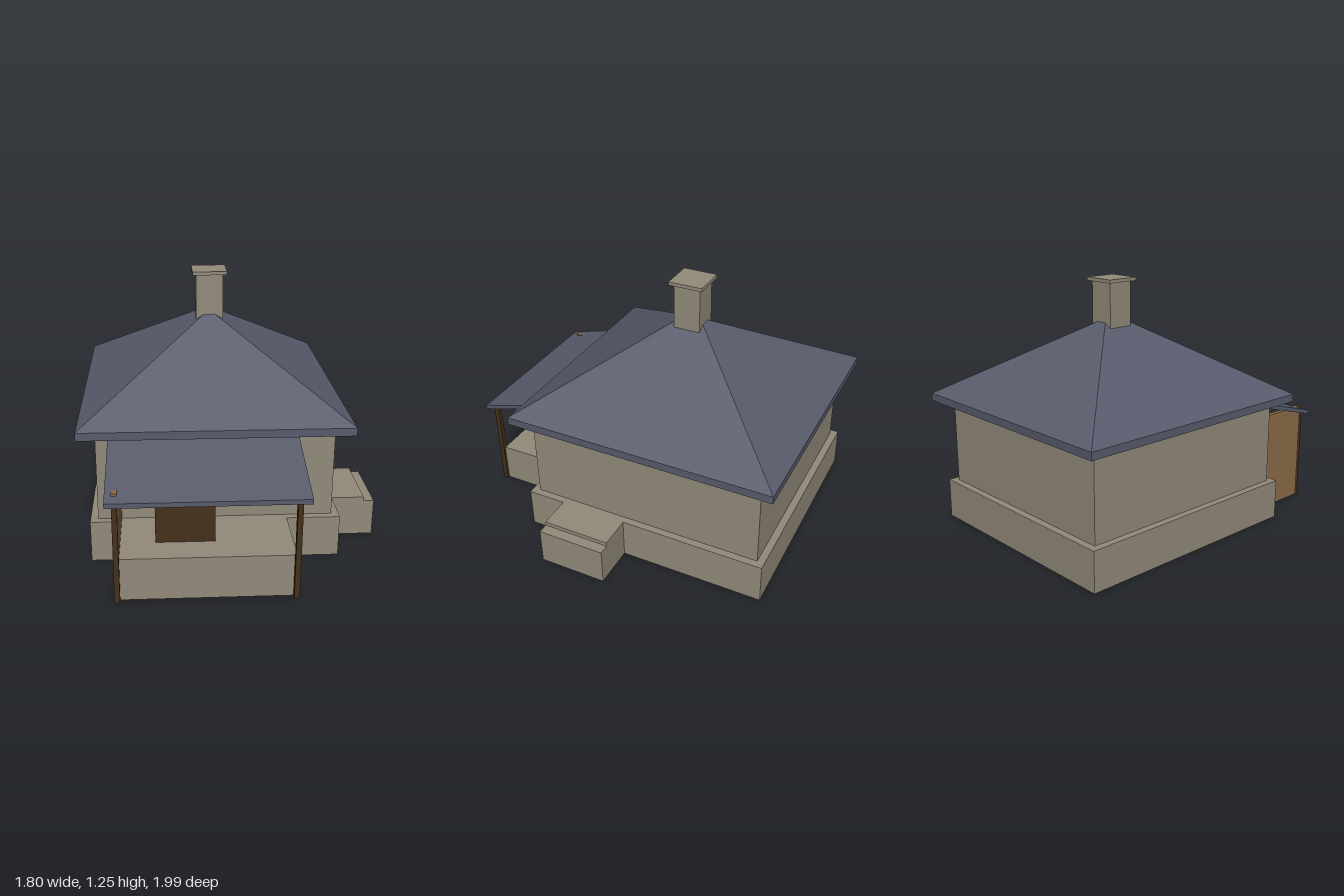
import * as THREE from 'three';

const stone = new THREE.MeshStandardMaterial({ name: 'stone', color: 0x928a7a, side: THREE.DoubleSide });
const slate = new THREE.MeshStandardMaterial({ name: 'slate', color: 0x575b6b });
const plank = new THREE.MeshStandardMaterial({ name: 'plank', color: 0x8b6a47 });
const darkWood = new THREE.MeshStandardMaterial({ name: 'darkWood', color: 0x46301c });

// Face numbers of a box, in the order BoxGeometry writes them
const LEFT = 1, TOP = 2, BOTTOM = 3, BACK = 5;

// Box between two corners; listed faces are left open
function block(name, material, [x0, x1], [y0, y1], [z0, z1], open = []) {
  const geo = new THREE.BoxGeometry(x1 - x0, y1 - y0, z1 - z0);
  geo.translate((x0 + x1) / 2, (y0 + y1) / 2, (z0 + z1) / 2);
  return finish(name, material, geo, open);
}

function finish(name, material, geo, open = []) {
  const index = Array.from(geo.index.array);
  const kept = [];
  for (const g of geo.groups) {
    if (!open.includes(g.materialIndex)) kept.push(...index.slice(g.start, g.start + g.count));
  }
  geo.clearGroups();
  geo.setIndex(kept);
  const flat = geo.toNonIndexed();
  flat.computeVertexNormals();
  const mesh = new THREE.Mesh(flat, material);
  mesh.name = name;
  return mesh;
}

// Move every vertex by a rule
function reshape(geo, rule) {
  const p = geo.attributes.position;
  for (let i = 0; i < p.count; i++) p.setXYZ(i, ...rule(p.getX(i), p.getY(i), p.getZ(i)));
  return geo;
}

// Hipped roof: vertical eaves, then four slopes up to a short ridge
function hipRoof() {
  const w = 0.625, d = 0.6625, levels = [0.625, 0.663, 1.053];
  const geo = reshape(new THREE.BoxGeometry(2, 2, 2, 1, 2, 1), (x, y, z) => {
    const level = Math.round(y) + 1;
    return level === 2 ? [0, levels[2], z * (d - w)] : [x * w, levels[level], z * d];
  });
  return finish('mainRoof', slate, geo, [TOP]);
}

// Lean-to roof sloping down toward the front
function porchRoof() {
  const back = 0.585, front = 0.995;
  const geo = reshape(new THREE.BoxGeometry(2, 2, 2), (x, y, z) => {
    const t = (z + 1) / 2;
    return [-0.055 + x * 0.433, 0.6 - 0.113 * t - (y < 0 ? 0.022 : 0), back + (front - back) * t];
  });
  return finish('porchRoof', slate, geo);
}

export function createModel() {
  const house = new THREE.Group();
  house.name = 'house';

  // Main body
  house.add(
    block('foundation', stone, [-0.58, 0.58], [0, 0.2], [-0.6175, 0.6175], [BOTTOM]),
    block('walls', stone, [-0.545, 0.545], [0.2, 0.626], [-0.5825, 0.5825], [TOP, BOTTOM]),
    hipRoof(),
  );

  // Chimney
  house.add(
    block('chimney', stone, [-0.066, 0.066], [0.95, 1.233], [-0.066, 0.066]),
    block('chimneyCap', stone, [-0.084, 0.084], [1.233, 1.25], [-0.084, 0.084]),
  );

  // Low side steps, open underneath
  house.add(
    block('sideStepInner', stone, [0.58, 0.738], [0, 0.2], [0.09, 0.425], [LEFT, BOTTOM]),
    block('sideStepOuter', stone, [0.738, 0.788], [0, 0.18], [0.09, 0.425], [LEFT, BOTTOM]),
  );

  // Porch
  const porch = new THREE.Group();
  porch.name = 'porch';
  porch.add(
    block('porchFloor', stone, [-0.436, 0.33], [0, 0.2], [0.6175, 0.95], [LEFT, BACK, BOTTOM]),
    block('porchSidePanel', plank, [-0.46, -0.435], [0, 0.51], [0.583, 0.95]),
    block('porchChest', darkWood, [-0.28, -0.016], [0.2, 0.407], [0.69, 0.814]),
    porchRoof(),
  );
  for (const x of [-0.447, 0.33]) {
    porch.add(block('porchPost', darkWood, [x - 0.012, x + 0.012], [0, 0.48], [0.95, 0.974]));
  }
  house.add(porch);

  // The whole house stands turned on its plot
  house.rotation.y = Math.asin(0.6);
  house.position.z = -0.095;
  const model = new THREE.Group();
  model.name = 'cottage';
  model.add(house);
  return model;
}
